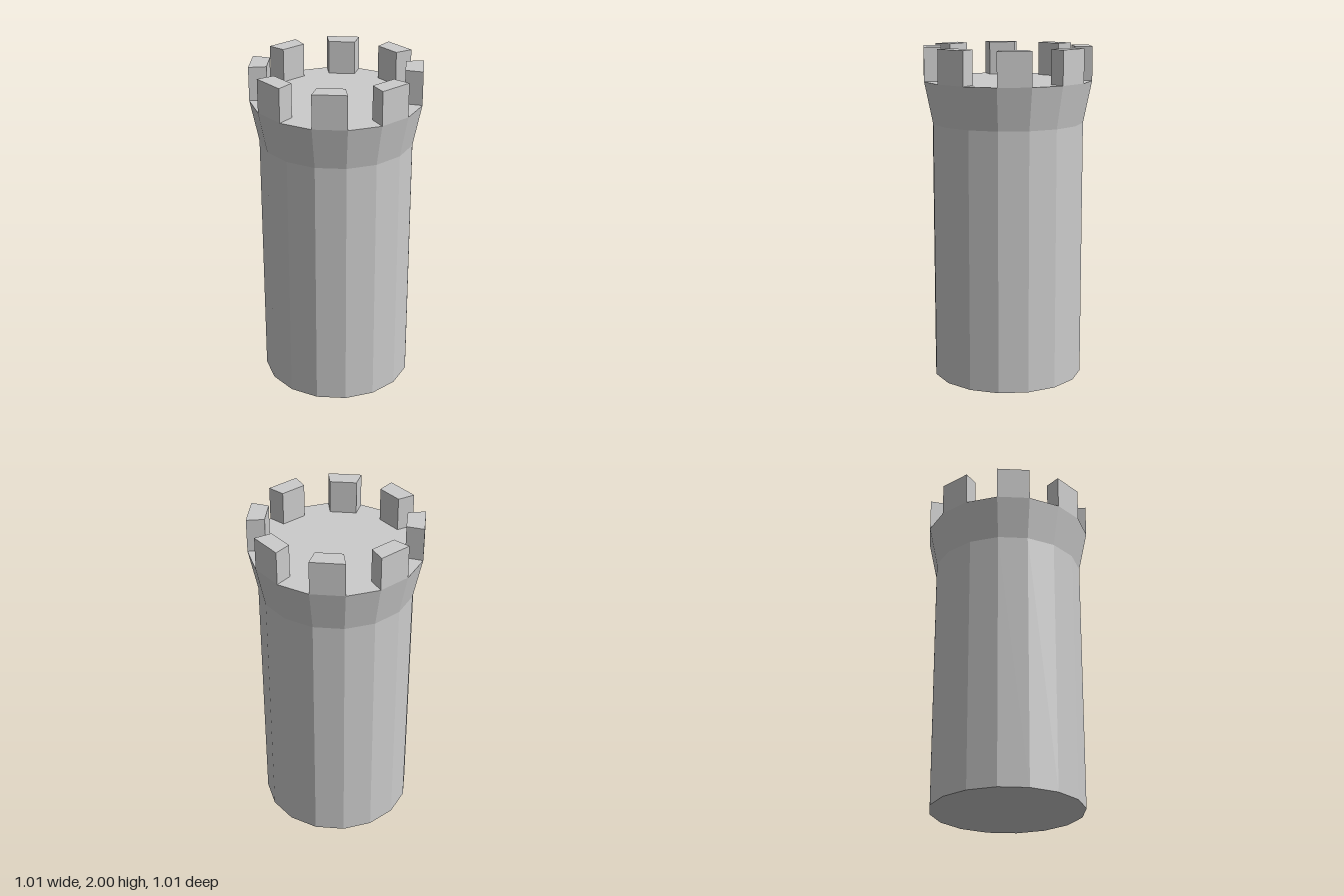
import * as THREE from 'three';

const SIDES = 16;
const STEP = (Math.PI * 2) / SIDES;
const SHAFT_R = 0.453, RIM_R = 0.504, INNER_R = 0.4;
const SHAFT_TOP = 1.55, DECK_Y = 1.8, TOP_Y = 2;

export function createModel() {
  const tower = new THREE.Group();
  tower.name = 'tower';
  const stone = new THREE.MeshStandardMaterial({ color: 0xcccccc, flatShading: true });

  const add = (name, geometry, parent = tower) => {
    const mesh = new THREE.Mesh(geometry, stone);
    mesh.name = name;
    parent.add(mesh);
    return mesh;
  };
  const turned = (...profile) =>
    new THREE.LatheGeometry(profile.map(([r, y]) => new THREE.Vector2(r, y)), SIDES);

  // Straight shaft, closed at the base
  add('shaft', turned([0, 0], [SHAFT_R, 0], [SHAFT_R, SHAFT_TOP]));

  // Flared collar
  add('collar', turned([SHAFT_R, SHAFT_TOP], [RIM_R, DECK_Y]));

  // Flat deck inside the battlements
  add('deck', turned([RIM_R, DECK_Y], [0, DECK_Y]));

  // One merlon fills one side of the polygon, extruded down from the top
  const corner = (r, a) => new THREE.Vector2(r * Math.cos(a), r * Math.sin(a));
  const outline = new THREE.Shape([
    corner(INNER_R, 0), corner(RIM_R, 0), corner(RIM_R, STEP), corner(INNER_R, STEP),
  ]);
  const merlonGeometry = new THREE.ExtrudeGeometry(outline, {
    depth: TOP_Y - DECK_Y, bevelEnabled: false,
  }).rotateX(Math.PI / 2).translate(0, TOP_Y, 0);

  // Merlons stand on every second side
  const battlements = new THREE.Group();
  battlements.name = 'battlements';
  tower.add(battlements);
  for (let i = 0; i < SIDES; i += 2) {
    add('merlon', merlonGeometry, battlements).rotation.y = i * STEP;
  }

  return tower;
}
